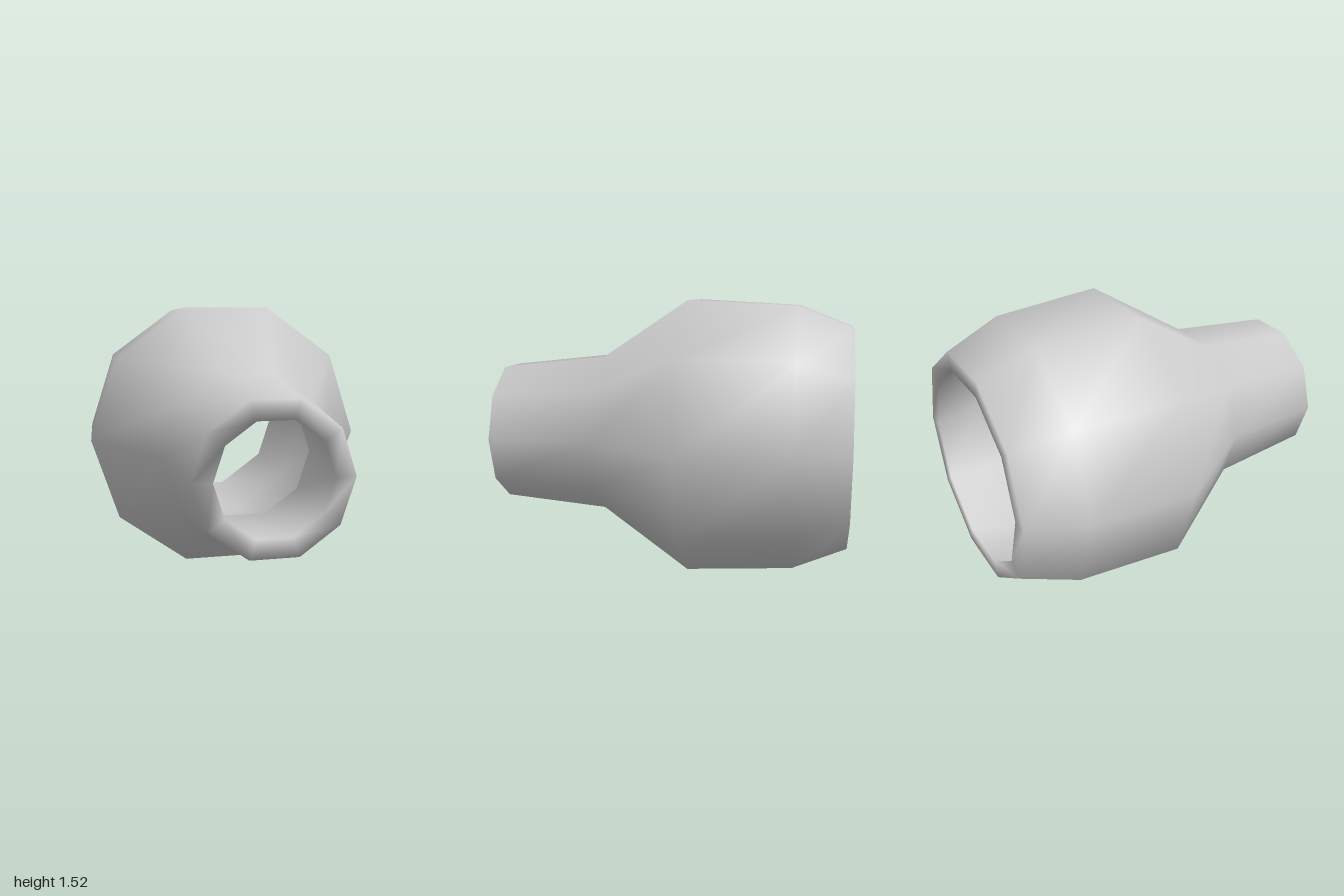
import * as THREE from 'three';
import { mergeVertices } from 'three/addons/utils/BufferGeometryUtils.js';

// Rings from back to front: z, outer radius, inner radius, centre height
const RINGS = [
  [-1, 0.64, 0.54, 0.765],
  [-0.7, 0.763, 0.66, 0.765],
  [-0.11, 0.8, 0.695, 0.762],
  [0.4, 0.463, 0.36, 0.755],
  [1, 0.405, 0.3, 0.745],
];

export function createModel() {
  const group = new THREE.Group();
  group.name = 'hollowNozzle';
  const grey = new THREE.MeshStandardMaterial({ color: 0xcccccc });
  grey.name = 'light grey';

  // Closed wall profile: outside forwards, inside backwards, both rims included
  const profile = RINGS.map(([z, outer]) => new THREE.Vector2(outer, z));
  for (const [z, , inner] of [...RINGS].reverse()) profile.push(new THREE.Vector2(inner, z));
  profile.push(profile[0].clone());

  // Ten-sided shell lying along z
  let shell = new THREE.LatheGeometry(profile, 10, Math.PI / 2);
  shell.rotateX(Math.PI / 2);

  // Raise each ring to its own centre height, so the nose dips slightly
  const pos = shell.attributes.position;
  for (let i = 0; i < pos.count; i++) {
    const ring = RINGS.find(([z]) => Math.abs(z - pos.getZ(i)) < 0.01);
    pos.setY(i, pos.getY(i) + ring[3]);
  }

  // Weld the seams for continuous smooth shading
  shell.deleteAttribute('uv');
  shell.deleteAttribute('normal');
  shell = mergeVertices(shell, 1e-4);
  shell.computeVertexNormals();

  const mesh = new THREE.Mesh(shell, grey);
  mesh.name = 'shell';
  group.add(mesh);
  return group;
}
